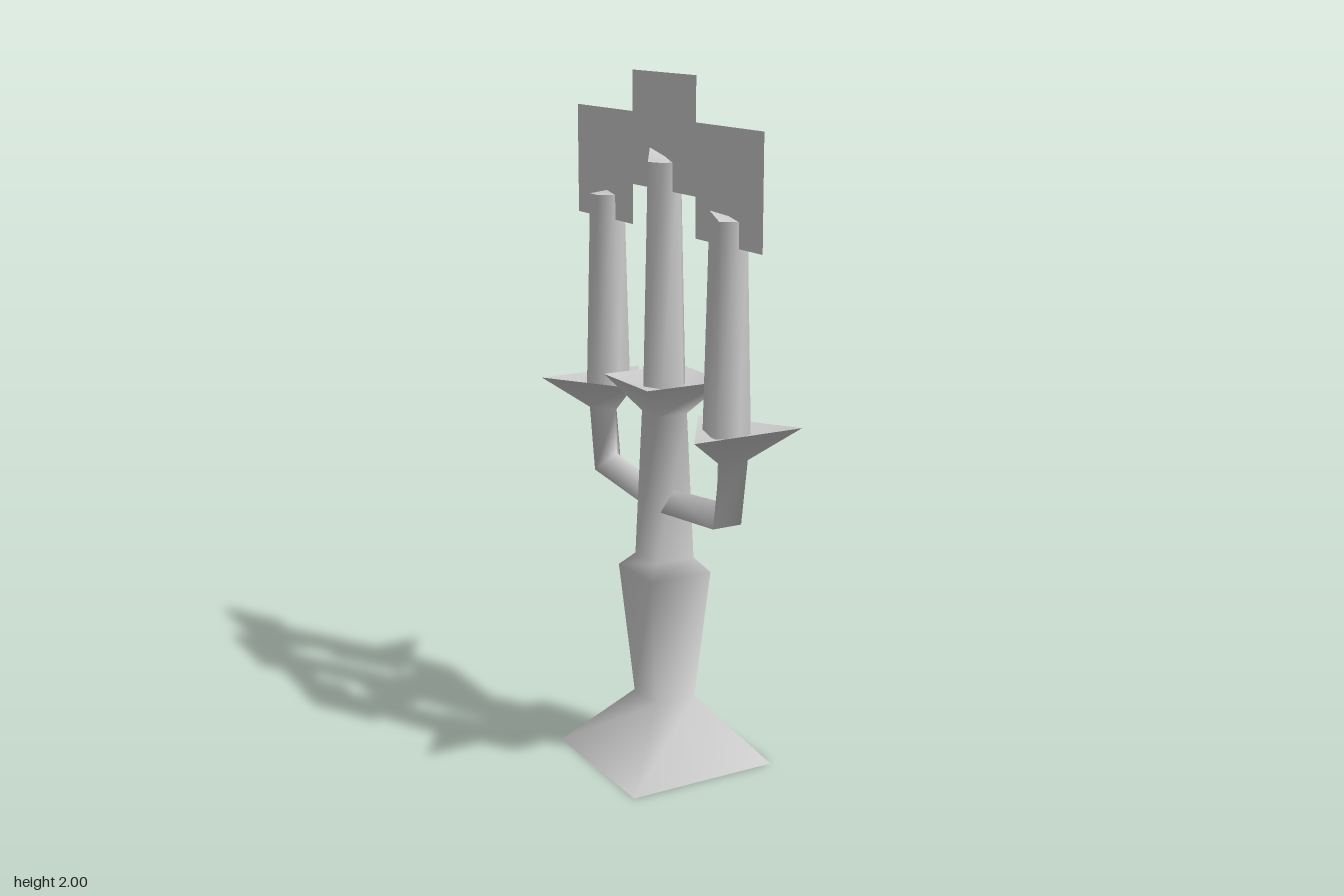
import * as THREE from 'three';

const V = (x, y, z) => new THREE.Vector3(x, y, z);

// Smooth skin over rings of equal size; rings run counter-clockwise seen from above
function loft(rings) {
  const n = rings[0].length;
  const index = [];
  for (let i = 0; i < rings.length - 1; i++) {
    for (let j = 0; j < n; j++) {
      const k = (j + 1) % n;
      const a = i * n + j, b = i * n + k;
      index.push(a, b, b + n, a, b + n, a + n);
    }
  }
  return finish(rings.flat(), index);
}

// Fan from a centre point to a ring, facing up (or down when flipped)
function fan(ring, centre, flip = false) {
  const n = ring.length;
  const index = [];
  for (let j = 0; j < n; j++) {
    const k = (j + 1) % n;
    if (flip) index.push(n, k, j);
    else index.push(n, j, k);
  }
  return finish([...ring, centre], index);
}

function finish(points, index) {
  const g = new THREE.BufferGeometry().setFromPoints(points);
  g.setIndex(index);
  g.computeVertexNormals();
  return g;
}

// Regular ring around the vertical axis
function ring(sides, radius, y, turn, z = 0) {
  return Array.from({ length: sides }, (_, i) => {
    const a = turn + (i / sides) * Math.PI * 2;
    return V(Math.sin(a) * radius, y, z + Math.cos(a) * radius);
  });
}

export function createModel() {
  const model = new THREE.Group();
  model.name = 'candelabrum';
  const grey = new THREE.MeshStandardMaterial({ color: 0xcccccc, side: THREE.DoubleSide });
  grey.name = 'light grey';

  const add = (parent, name, geometry) => {
    const mesh = new THREE.Mesh(geometry, grey);
    mesh.name = name;
    parent.add(mesh);
    return mesh;
  };

  // Tapered six-sided candle with one raised corner at its top
  function candle(parent, y0, y1, lift, turn, z) {
    const group = new THREE.Group();
    group.name = 'candle';
    const bottom = ring(6, 0.065, y0, turn, z);
    const top = ring(6, 0.05, y1, turn, z);
    top[0].y += lift;
    add(group, 'candleSide', loft([bottom, top]));
    add(group, 'candleTop', fan(top, V(0, y1 + lift * 0.4, z)));
    parent.add(group);
  }

  // Square stem from foot to central saucer: [y, half width]
  const cz = 0.011;
  const profile = [[0, 0.23], [0.19, 0.065], [0.58, 0.098], [0.62, 0.062], [1.05, 0.047], [1.15, 0.127]];
  const stem = profile.map(([y, h]) => ring(4, h * Math.SQRT2, y, Math.PI / 4, cz));
  add(model, 'stem', loft(stem));
  add(model, 'footUnderside', fan(stem[0], V(0, 0, cz), true));
  add(model, 'centreSaucerDish', fan(stem[stem.length - 1], V(0, 1.11, cz)));
  candle(model, 1.13, 1.76, 0.035, Math.atan2(-0.02, -0.045), cz);

  // Three-sided arm widening into a triangular saucer: [half width, outer y, z, inner y, z]
  const sections = [
    [0.045, 0.767, 0.03, 0.827, 0.03],
    [0.045, 0.8, 0.355, 0.86, 0.3],
    [0.045, 0.99, 0.385, 0.99, 0.305],
    [0.168, 1.08, 0.46, 1.08, 0.2],
  ];
  for (const side of [1, -1]) {
    const branch = new THREE.Group();
    branch.name = side > 0 ? 'frontBranch' : 'backBranch';
    const rings = sections.map(([w, yo, zo, yi, zi]) => [V(-w, yo, zo), V(w, yo, zo), V(0, yi, zi)]);
    add(branch, 'arm', loft(rings));
    add(branch, 'saucerDish', fan(rings[3], V(0, 1.04, 0.35)));
    candle(branch, 1.06, 1.637, 0.025, -Math.PI * 2 / 3, 0.348);
    if (side < 0) {
      branch.rotation.y = Math.PI;
      branch.position.z = 0.02;
    }
    model.add(branch);
  }

  // Flat flame cards standing along the centre line: [z min, z max, y min, y max]
  const cards = [[0.18, 0.513, 1.567, 1.877], [-0.17, 0.18, 1.68, 2], [-0.51, -0.17, 1.565, 1.885]];
  for (const [z0, z1, y0, y1] of cards) {
    const card = add(model, 'flameCard', new THREE.PlaneGeometry(z1 - z0, y1 - y0));
    card.rotation.y = Math.PI / 2;
    card.position.set(0, (y0 + y1) / 2, (z0 + z1) / 2);
  }
  return model;
}
